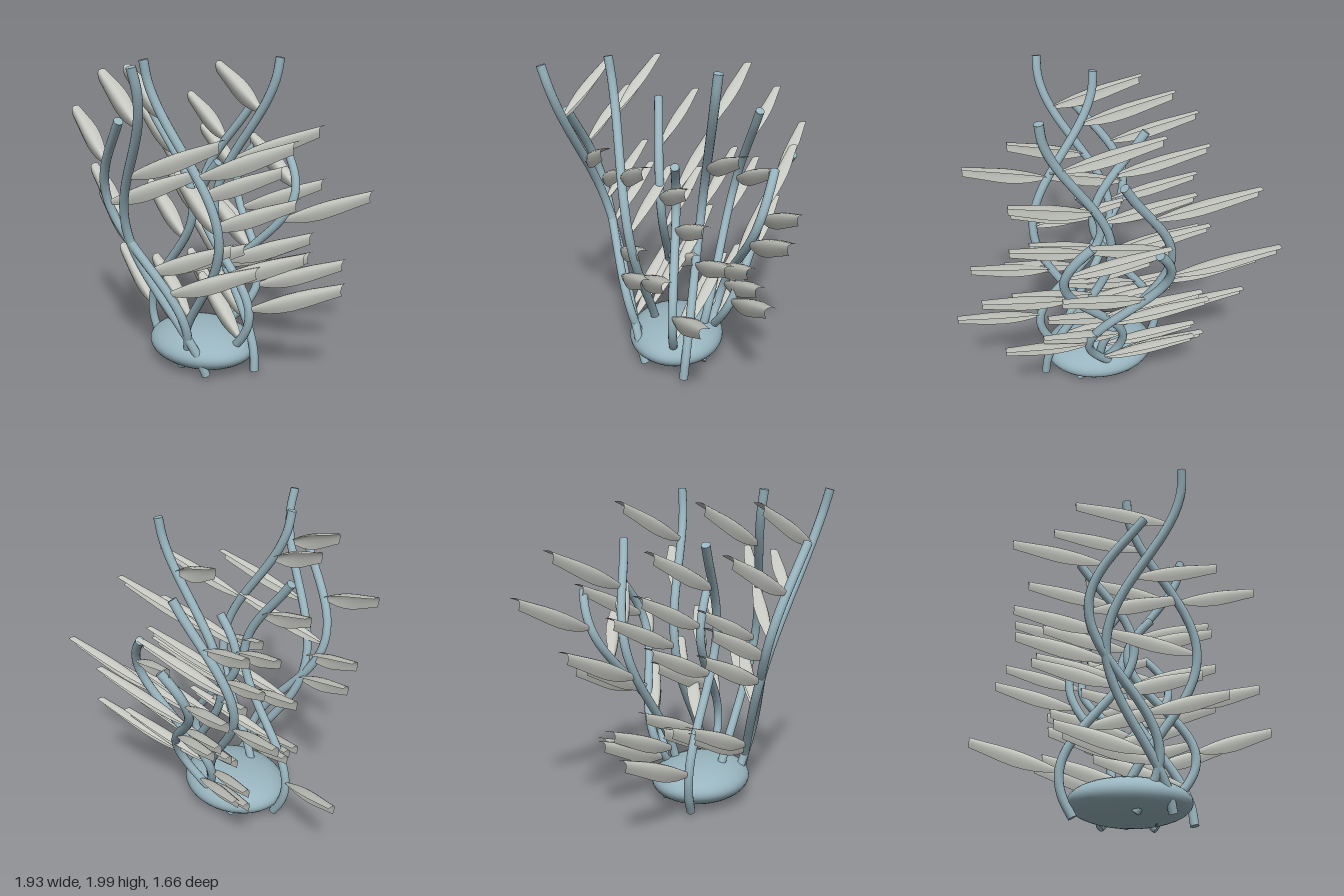
import * as THREE from 'three';

const stemMat = new THREE.MeshStandardMaterial({ color: 0x98b4be });
stemMat.name = 'blue grey stem';
const leafMat = new THREE.MeshStandardMaterial({ color: 0xc6c8c1, side: THREE.DoubleSide });
leafMat.name = 'pale grey leaf';

const FOOT = 0.035; // height where every stalk starts

// Each stalk sways once in x and leans straight in z:
// top height, middle x, sway, height of the +x crest, z at foot, z at top
const stalks = [
  [1.995, 0.02, 0.21, 1.93, 0.24, 0.80],
  [1.68, -0.08, 0.22, 0.34, 0.24, 0.71],
  [1.995, 0.16, 0.225, 1.0, 0.157, 0.455],
  [1.68, -0.2, 0.22, 1.1, 0.085, 0.175],
  [1.365, 0.2, 0.21, 0.43, 0.05, 0.045],
  [1.995, 0.18, 0.22, 0.04, -0.02, -0.21],
  [1.68, -0.16, 0.2, 0.23, -0.095, -0.465],
  [1.375, 0.13, 0.21, 1.1, -0.13, -0.555],
  [1.36, -0.05, 0.21, 0.48, -0.13, -0.69],
];

// Deeply arched blade from stalk to tip, widest in the middle, cut upright at the end
function leafGeometry() {
  const along = new THREE.Vector3(0.55, 0.23, -0.2);
  const normal = new THREE.Vector3(0, 0.65, 0.75).normalize();
  const across = new THREE.Vector3(-0.05, -0.8, 0.58).normalize();
  const halfWidths = [0.014, 0.036, 0.055, 0.066, 0.07, 0.066, 0.058, 0.05, 0.043];
  const cols = 8, rows = halfWidths.length - 1;
  const pos = [], index = [];
  halfWidths.forEach((w, r) => {
    for (let c = 0; c <= cols; c++) {
      const v = (c / cols) * 2 - 1;
      const p = along.clone().multiplyScalar(r / rows)
        .addScaledVector(across, w * v)
        .addScaledVector(normal, w * (0.5 - 0.9 * v * v));
      pos.push(p.x, p.y, p.z);
    }
  });
  for (let r = 0; r < rows; r++) {
    for (let c = 0; c < cols; c++) {
      const a = r * (cols + 1) + c, b = a + cols + 1;
      index.push(a, a + 1, b, b, a + 1, b + 1);
    }
  }
  const g = new THREE.BufferGeometry();
  g.setAttribute('position', new THREE.Float32BufferAttribute(pos, 3));
  g.setIndex(index);
  g.computeVertexNormals();
  return g;
}

export function createModel() {
  const model = new THREE.Group();
  model.name = 'seaweed';
  const add = (parent, geometry, material, name) => {
    const m = new THREE.Mesh(geometry, material);
    m.name = name;
    parent.add(m);
    return m;
  };

  // Flattened round base
  const base = add(model, new THREE.SphereGeometry(1, 40, 24), stemMat, 'base');
  base.scale.set(0.374, 0.133, 0.313);
  base.position.set(0.005, 0.143, 0.046);

  const leafGeo = leafGeometry();
  const radius = 0.028;

  for (const [top, mid, sway, crest, z0, z1] of stalks) {
    const plant = new THREE.Group();
    plant.name = 'plant';
    model.add(plant);

    const height = top - FOOT;
    const at = (t) => {
      const y = FOOT + height * t;
      return new THREE.Vector3(
        mid + sway * Math.cos((2 * Math.PI * (y - crest)) / height), y, z0 + (z1 - z0) * t);
    };

    // Swaying stalk with closed ends
    const curve = new THREE.CatmullRomCurve3(Array.from({ length: 17 }, (_, i) => at(i / 16)));
    add(plant, new THREE.TubeGeometry(curve, 64, radius, 12), stemMat, 'stalk');
    for (const t of [0, 1]) {
      const cap = add(plant, new THREE.CircleGeometry(radius, 12), stemMat, 'stalkEnd');
      cap.position.copy(curve.getPoint(t));
      const out = curve.getTangent(t).multiplyScalar(t ? 1 : -1);
      cap.quaternion.setFromUnitVectors(new THREE.Vector3(0, 0, 1), out);
    }

    // Five leaves, alternating sides
    for (let i = 1; i <= 5; i++) {
      const leaf = add(plant, leafGeo, leafMat, 'leaf');
      leaf.position.copy(at(i / 6));
      leaf.scale.x = i % 2 ? -1 : 1;
    }
  }
  return model;
}
